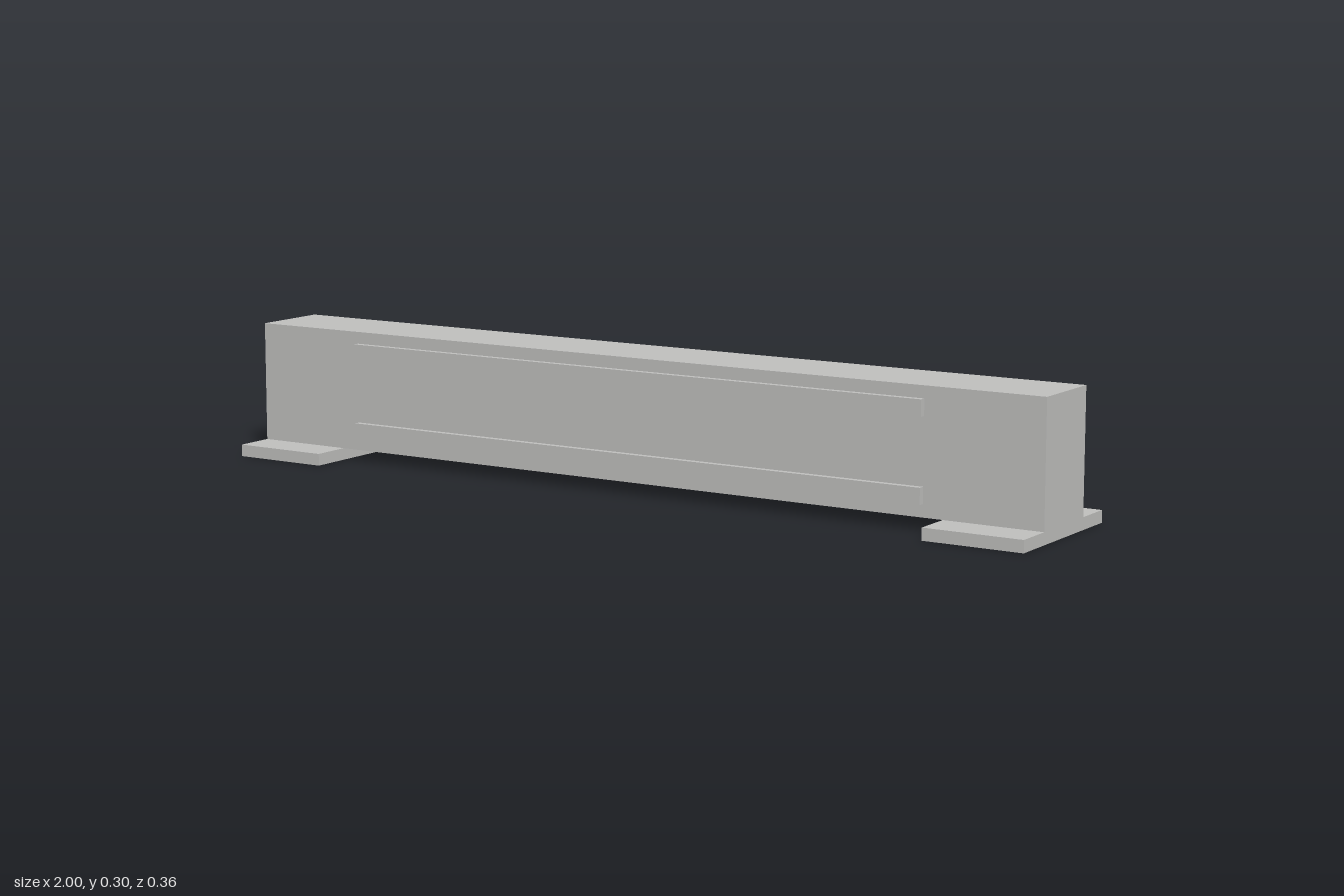
import * as THREE from 'three';

export function createModel() {
  const model = new THREE.Group();
  model.name = 'barrier';

  const concrete = new THREE.MeshStandardMaterial({ color: 0xc0c0be });
  concrete.name = 'light grey';

  // Box given by its extents on each axis
  const addBox = (name, [x0, x1], [y0, y1], [z0, z1]) => {
    const mesh = new THREE.Mesh(new THREE.BoxGeometry(x1 - x0, y1 - y0, z1 - z0), concrete);
    mesh.position.set((x0 + x1) / 2, (y0 + y1) / 2, (z0 + z1) / 2);
    mesh.name = name;
    model.add(mesh);
  };

  const footTop = 0.027;
  const halfDepth = 0.091;

  // Long beam resting on the feet
  addBox('beam', [-1, 1], [footTop, 0.3], [-halfDepth, halfDepth]);

  // Flat foot plate under each end
  addBox('leftFoot', [0.773, 1], [0, footTop], [-0.182, 0.182]);
  addBox('rightFoot', [-1, -0.773], [0, footTop], [-0.182, 0.182]);

  // Raised rails on the front face
  addBox('lowerRail', [-0.727, 0.727], [0.055, 0.091], [halfDepth, 0.105]);
  addBox('upperRail', [-0.727, 0.727], [0.237, 0.273], [halfDepth, 0.105]);

  return model;
}
